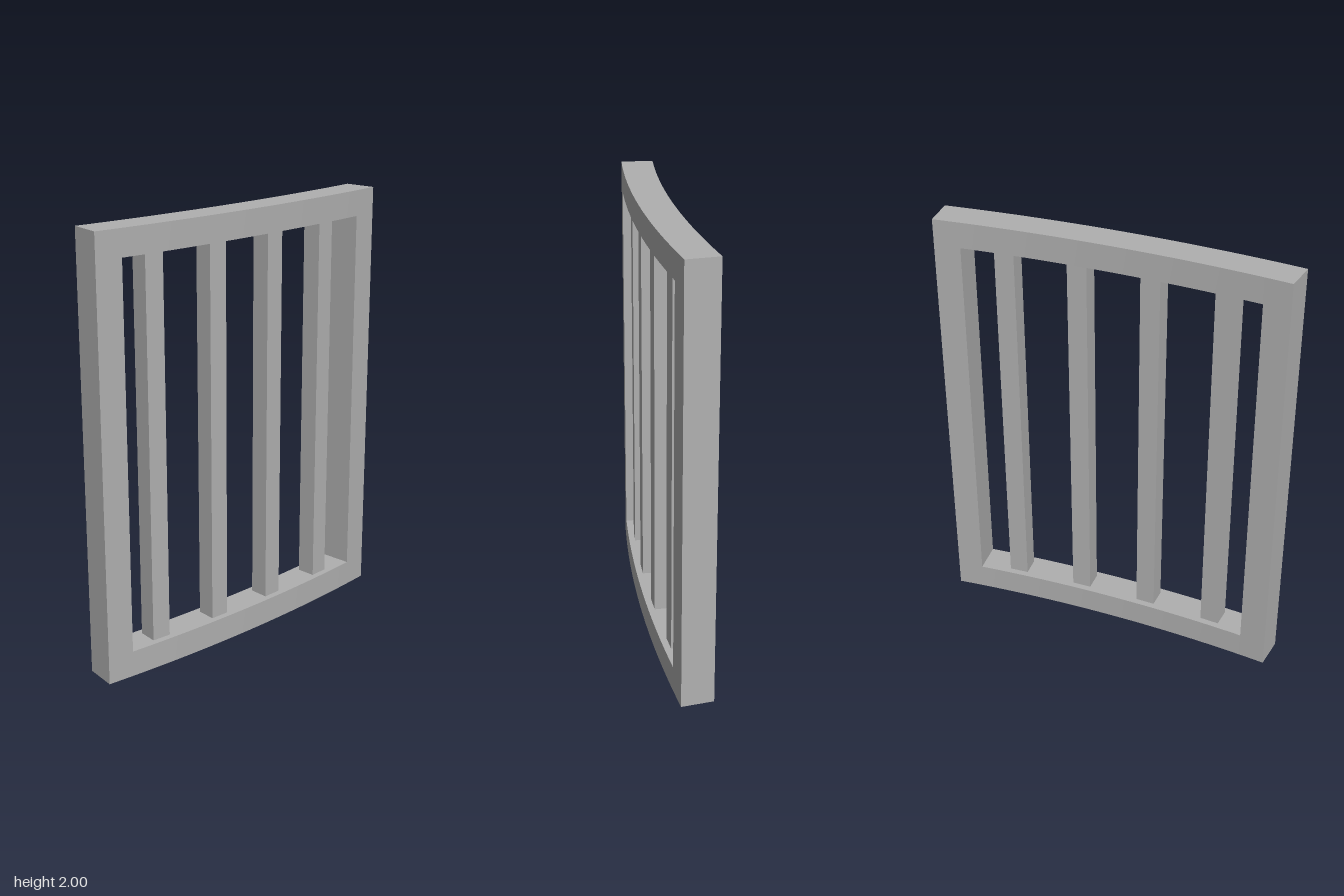
import * as THREE from 'three';

// The whole panel follows a shallow arc about a vertical axis behind it.
const OUTER = 7.4, DEPTH = 0.15, MID = OUTER - DEPTH / 2;
const AXIS_Z = 0.097 - OUTER;
const EDGE = 0.1107;   // half angle of the panel
const INNER = 0.0938;  // half angle of the opening
const RAIL = 0.12;     // rail height
const HEIGHT = 2;

// Block swept along the arc between two angles and two heights.
function arcBlock(a0, a1, y0, y1, segments) {
  const geo = new THREE.BoxGeometry(a1 - a0, y1 - y0, DEPTH, segments, 1, 1);
  const pos = geo.attributes.position;
  for (let i = 0; i < pos.count; i++) {
    const angle = pos.getX(i) + (a0 + a1) / 2;
    const radius = MID + pos.getZ(i);
    pos.setXYZ(i, radius * Math.sin(angle), pos.getY(i) + (y0 + y1) / 2,
      AXIS_Z + radius * Math.cos(angle));
  }
  geo.computeVertexNormals();
  return geo;
}

export function createModel() {
  const group = new THREE.Group();
  group.name = 'curvedBarredPanel';
  const grey = new THREE.MeshStandardMaterial({ color: 0xb0b0b0 });
  grey.name = 'grey';

  const add = (name, geo) => {
    const mesh = new THREE.Mesh(geo, grey);
    mesh.name = name;
    group.add(mesh);
    return mesh;
  };

  // Full-height side stiles
  add('rightStile', arcBlock(-EDGE, -INNER, 0, HEIGHT, 3));
  add('leftStile', arcBlock(INNER, EDGE, 0, HEIGHT, 3));

  // Curved rails between the stiles
  add('bottomRail', arcBlock(-INNER, INNER, 0, RAIL, 24));
  add('topRail', arcBlock(-INNER, INNER, HEIGHT - RAIL, HEIGHT, 24));

  // Square upright bars, each turned to face out from the arc
  const barGeo = new THREE.BoxGeometry(0.09, HEIGHT - 2 * RAIL, 0.09);
  for (let i = 0; i < 4; i++) {
    const angle = -0.07 + i * 0.046;
    const bar = add('bar' + (i + 1), barGeo);
    bar.position.set(MID * Math.sin(angle), HEIGHT / 2, AXIS_Z + MID * Math.cos(angle));
    bar.rotation.y = angle;
  }
  return group;
}
